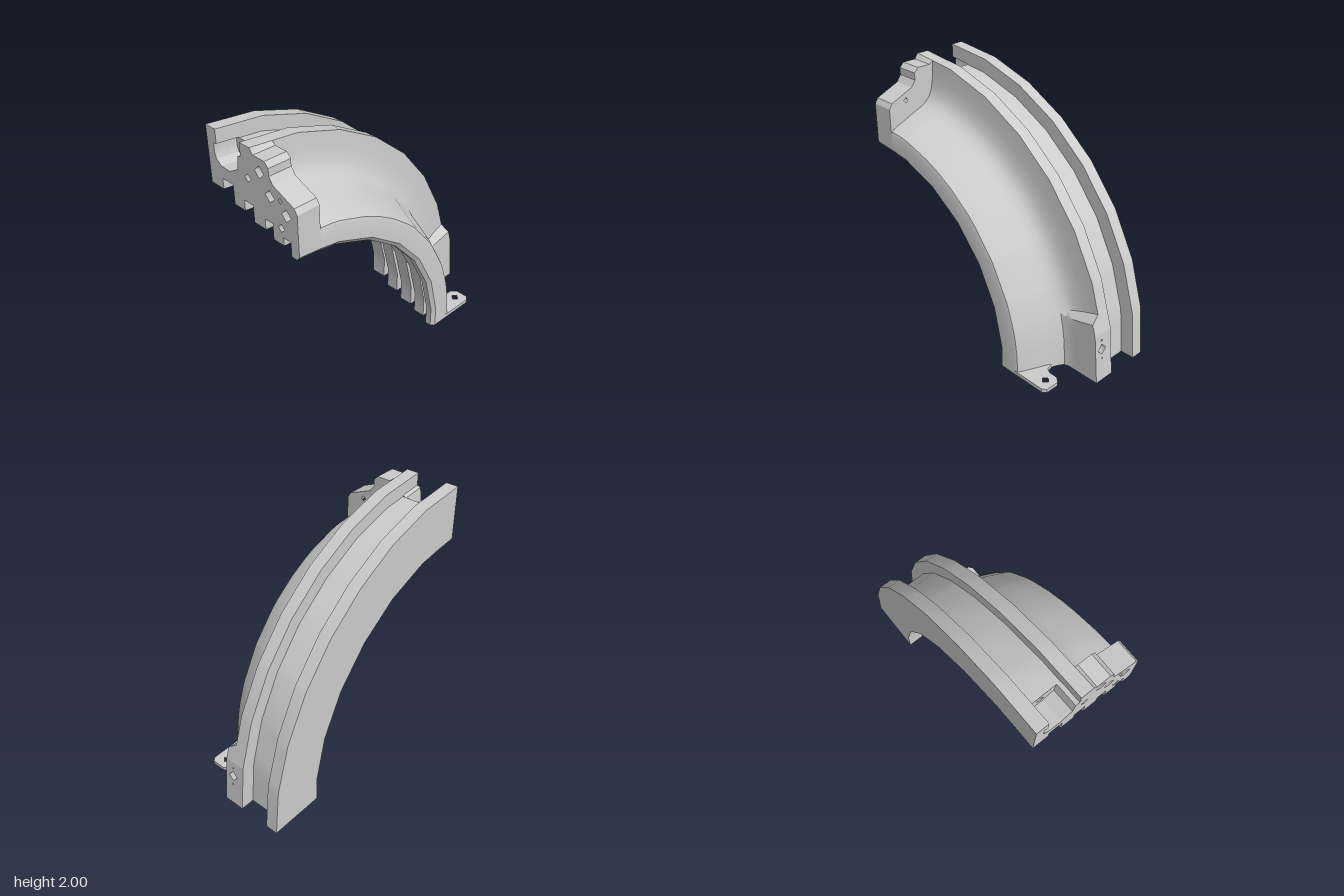
import * as THREE from 'three';
import { toCreasedNormals } from 'three/addons/utils/BufferGeometryUtils.js';

const RAD = Math.PI / 180;
const OUT = 90 / 8, INN = 360 / 26;   // facet angles of the outer and inner rims
const BLOCK_Z = 0.82;                 // rear plane of the front block
const mat = new THREE.MeshStandardMaterial({ color: 0xcccccc });
const matIn = new THREE.MeshStandardMaterial({ color: 0xcccccc, side: THREE.BackSide });
const matBoth = new THREE.MeshStandardMaterial({ color: 0xcccccc, side: THREE.DoubleSide });

// stepped grooves on the inside of the arch, from right to left
const steps = [
  [0.435, 1.39], [0.41, 1.36], [0.36, 1.36], [0.36, 1.47], [0.29, 1.47], [0.29, 1.41],
  [0.19, 1.41], [0.19, 1.53], [0.115, 1.53], [0.115, 1.45], [0, 1.45], [0, 1.58],
  [-0.09, 1.58], [-0.09, 1.5], [-0.2, 1.5], [-0.2, 1.65], [-0.31, 1.65], [-0.31, 1.57], [-0.44, 1.57],
];
// outer side of the arch: flange, channel, flange, hollow flank
const rim = [[-0.44, 2], [-0.34, 2], [-0.34, 1.89], [-0.09, 1.89], [-0.09, 2], [0.01, 2]];
const flank = [[0.018, 1.87], [0.032, 1.79], [0.055, 1.735], [0.09, 1.695], [0.14, 1.665],
  [0.2, 1.642], [0.3, 1.6], [0.405, 1.555], [0.428, 1.54], [0.435, 1.515]];
const profile = [
  ...rim.map(([x, r]) => ({ x, r, step: OUT })),
  ...flank.map(([x, r]) => ({ x, r, step: 0 })),
  ...steps.map(([x, r]) => ({ x, r, step: INN })),
];
const FLANGE = 4;                     // profile edge along the top of the second flange

// distance to a faceted circle at angle a (degrees)
function facetRadius(r, step, a) {
  if (!step) return r;
  const h = step / 2;
  return r * Math.cos(h * RAD) / Math.cos(((a % step) - h) * RAD);
}

function ringAt(a) {
  return profile.map(({ x, r, step }) => {
    if (a === 0) return new THREE.Vector3(x, r - 0.1 * (1 - BLOCK_Z), BLOCK_Z);
    const R = facetRadius(r, step, a);
    const px = a >= 76 && x > 0 && r > 1.7 ? Math.max(x, 0.08) : x;   // thicker foot pad
    return new THREE.Vector3(px, R * Math.cos(a * RAD), 1 - R * Math.sin(a * RAD));
  });
}

const shapeOf = (pts) => new THREE.Shape(pts.map(([x, y]) => new THREE.Vector2(x, y)));

function cutDiamonds(shape, holes) {
  for (const [x, y, s] of holes) {
    shape.holes.push(new THREE.Path([[s, 0], [0, -s], [-s, 0], [0, s]]
      .map(([dx, dy]) => new THREE.Vector2(x + dx, y + dy))));
  }
  return shape;
}

function add(parent, name, geo, material = mat) {
  const mesh = new THREE.Mesh(geo, material);
  mesh.name = name;
  parent.add(mesh);
  return mesh;
}

// tapered blind diamond socket opening towards +z
function addSocket(parent, x, y, z, s, depth) {
  const geo = new THREE.CylinderGeometry(s, s * 0.65, depth, 4);
  geo.rotateX(Math.PI / 2);
  geo.translate(x, y, z - depth / 2);
  add(parent, 'socket', geo, matIn);
}

// swept arch
function buildArch(group) {
  const angles = [0, 74.5, 76];
  for (let i = 1; i <= 8; i++) angles.push(i * OUT);
  for (let i = 1; i <= 6; i++) angles.push(i * INN);
  angles.sort((a, b) => a - b);
  const rings = angles.map(ringAt);
  const n = profile.length, pos = [];
  const tri = (...v) => v.forEach((p) => pos.push(p.x, p.y, p.z));
  for (let k = 0; k + 1 < rings.length; k++) {
    for (let j = 0; j < n; j++) {
      if (j === FLANGE && angles[k] >= 7 * OUT - 0.01) continue;   // replaced by the drilled plate
      const i = (j + 1) % n, A = rings[k], B = rings[k + 1];
      tri(A[j], A[i], B[j]);
      tri(A[i], B[i], B[j]);
    }
  }
  const geo = new THREE.BufferGeometry();
  geo.setAttribute('position', new THREE.Float32BufferAttribute(pos, 3));
  add(group, 'arch', toCreasedNormals(geo, 0.6));

  // end behind the front block, with the socket at the back of the pocket
  const pocketHole = [-0.25, 1.8, 0.03];
  const start = new THREE.ShapeGeometry(cutDiamonds(shapeOf(rings[0].map((p) => [p.x, p.y])), [pocketHole]));
  start.translate(0, 0, BLOCK_Z);
  add(group, 'archFrontEnd', start);
  addSocket(group, pocketHole[0], pocketHole[1], BLOCK_Z, pocketHole[2], 0.08);

  // flat end at the foot
  const end = new THREE.ShapeGeometry(shapeOf(rings[rings.length - 1].map((p) => [p.x, -p.z])));
  end.rotateX(-Math.PI / 2);
  add(group, 'archFootEnd', end, matBoth);
}

// front block with pocket and sockets
function buildBlock(group) {
  const outline = [
    [-0.44, 2], [-0.34, 2], [-0.34, 1.895], [-0.37, 1.89], [-0.37, 1.82], [-0.355, 1.78], [-0.31, 1.745],
    [-0.22, 1.74], [-0.135, 1.79], [-0.12, 1.89], [-0.09, 1.9], [-0.09, 2], [0.01, 2], [0.04, 1.96],
    [0.15, 1.96], [0.185, 1.925], [0.185, 1.87], [0.22, 1.82], [0.41, 1.74], [0.435, 1.7], ...steps,
  ];
  const blind = [[0.09, 1.86, 0.045], [0.18, 1.725, 0.045], [0.33, 1.65, 0.045],
    [-0.03, 1.77, 0.03], [0.275, 1.535, 0.03]];
  const through = [[0.28, 1.735, 0.02]];
  const layer = (name, z0, z1, holes) => {
    const geo = new THREE.ExtrudeGeometry(cutDiamonds(shapeOf(outline), holes),
      { depth: z1 - z0, bevelEnabled: false });
    geo.translate(0, 0, z0);
    // rim and grooves follow the first facet of the arch; the block top stays level
    const p = geo.attributes.position;
    for (let i = 0; i < p.count; i++) {
      if (p.getX(i) < 0.02 || p.getY(i) < 1.5) p.setY(i, p.getY(i) - 0.1 * (1 - p.getZ(i)));
    }
    add(group, name, toCreasedNormals(geo, 0.5));
  };
  layer('frontBlockFace', 0.92, 1, [...blind, ...through]);
  layer('frontBlockRear', BLOCK_Z, 0.92, through);
  for (const [x, y, s] of blind) addSocket(group, x, y, 1, s, 0.07);
}

// drilled plate closing the last facet of the flange
function buildPlate(group) {
  const plate = new THREE.Group();
  plate.name = 'footPlate';
  plate.position.set(0, 0, -1);
  plate.rotation.set(OUT / 2 * RAD, Math.PI, 0);
  const len = 4 * Math.sin(OUT / 2 * RAD);
  const holes = [[-0.01, 0.26, 0.042], [-0.01, 0.335, 0.008], [-0.01, 0.185, 0.008]];
  const shape = shapeOf([[-0.08, 0], [0.09, 0], [0.09, len], [-0.08, len]]);
  add(plate, 'plateFace', new THREE.ShapeGeometry(cutDiamonds(shape, holes)));
  for (const [x, y, s] of holes) addSocket(plate, x, y, 0, s, 0.08);
  group.add(plate);
}

// mounting tab at the foot
function buildTab(group) {
  const shape = shapeOf([[0.19, 0.6], [0.19, 0.655], [0.24, 0.665], [0.265, 0.71], [0.265, 0.78],
    [0.3, 0.82], [0.41, 0.82], [0.435, 0.79], [0.435, 0.5]]);
  const geo = new THREE.ExtrudeGeometry(cutDiamonds(shape, [[0.345, 0.74, 0.03]]),
    { depth: 0.03, bevelEnabled: false });
  geo.rotateX(-Math.PI / 2);
  add(group, 'mountingTab', toCreasedNormals(geo, 0.5));
}

export function createModel() {
  const group = new THREE.Group();
  group.name = 'archSegment';
  buildArch(group);
  buildBlock(group);
  buildPlate(group);
  buildTab(group);
  return group;
}
